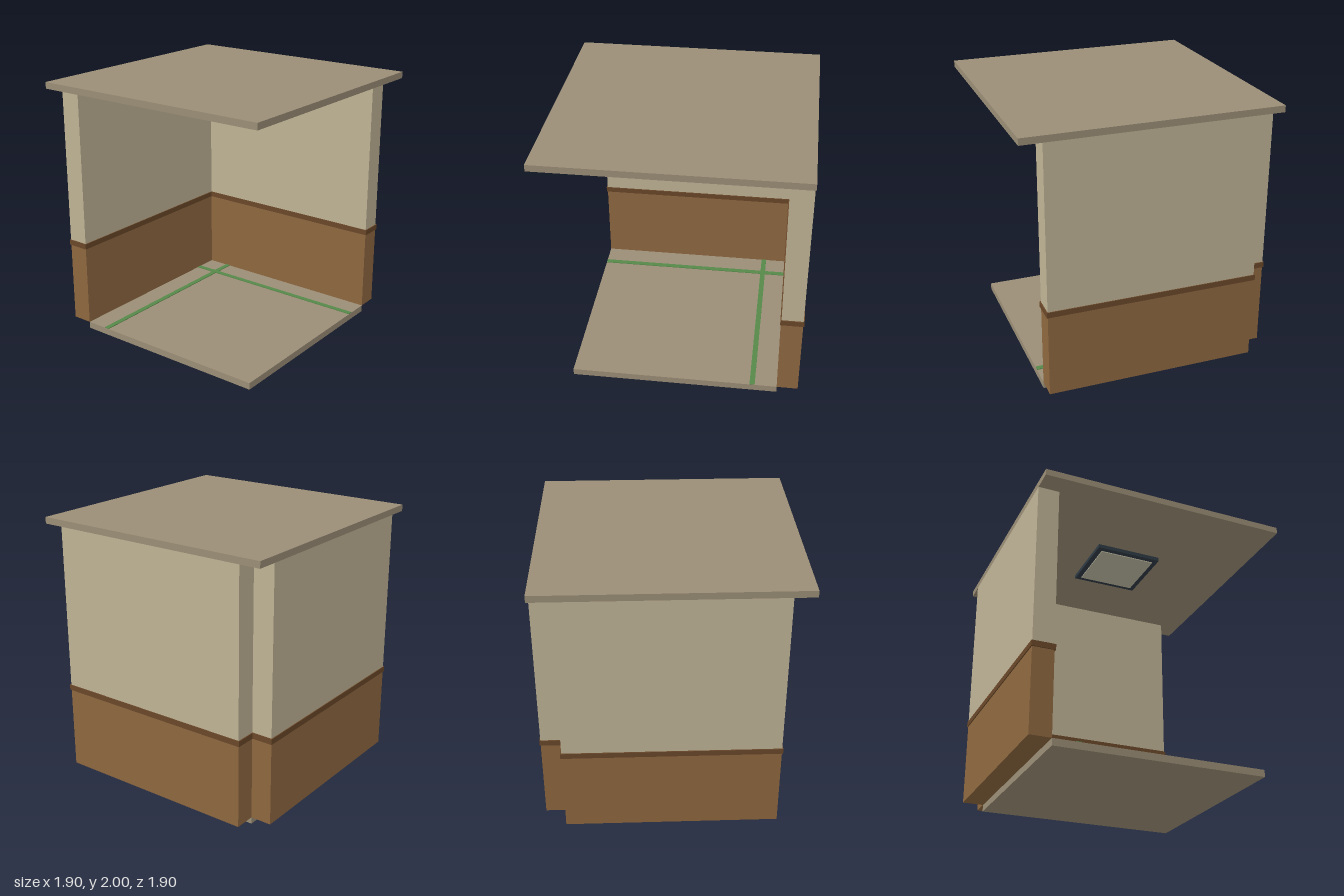
import * as THREE from 'three';

const mat = (name, color) => {
  const m = new THREE.MeshStandardMaterial({ color });
  m.name = name;
  return m;
};

export function createModel() {
  const stone = mat('stone', 0x9b8e76);
  const plaster = mat('plaster', 0xc0b496);
  const wood = mat('wood panel', 0x8f6840);
  const darkWood = mat('dark wood', 0x6a4829);
  const green = mat('green inlay', 0x56884a);
  const metal = mat('dark metal', 0x2f3b44);
  const pale = mat('lamp panel', 0xc2bda6);

  const room = new THREE.Group();
  room.name = 'room';

  // Box given by its min and max on each axis
  const box = (parent, name, material, [x0, x1], [y0, y1], [z0, z1]) => {
    const mesh = new THREE.Mesh(new THREE.BoxGeometry(x1 - x0, y1 - y0, z1 - z0), material);
    mesh.position.set((x0 + x1) / 2, (y0 + y1) / 2, (z0 + z1) / 2);
    mesh.name = name;
    parent.add(mesh);
  };

  const IN = 0.787, OUT = 0.946, FLOOR = 0.052, CEIL = 1.951;

  // Floor and overhanging ceiling slabs
  box(room, 'floor', stone, [-IN, IN], [0, FLOOR], [-IN, IN]);
  box(room, 'ceiling', stone, [-OUT, OUT], [CEIL, 2], [-OUT, OUT]);

  // Two walls, each with wainscot, rail and plaster; the outer corner stays open
  const wall = (name, turn) => {
    const g = new THREE.Group();
    g.name = name;
    const span = [-IN, IN], depth = [-OUT, -IN];
    box(g, 'wainscot', wood, span, [FLOOR, 0.69], depth);
    box(g, 'plasterWall', plaster, span, [0.69, CEIL], depth);
    box(g, 'chairRail', darkWood, [-IN - 0.008, IN + 0.008], [0.678, 0.72], [-OUT - 0.007, -IN + 0.008]);
    g.rotation.y = turn;
    room.add(g);
  };
  wall('backWall', 0);
  wall('rightWall', Math.PI / 2);

  // Crossing green inlays on the floor
  const strip = [-0.62, -0.58], top = [FLOOR - 0.002, FLOOR + 0.005];
  box(room, 'inlayAlongDepth', green, strip, top, [-0.58, IN - 0.002]);
  box(room, 'inlayAlongDepthRear', green, strip, top, [-IN + 0.002, -0.62]);
  box(room, 'inlayAlongWidth', green, [-IN + 0.002, IN - 0.002], top, strip);

  // Ceiling lamp: square frame around a pale panel
  const lamp = new THREE.Group();
  lamp.name = 'ceilingLamp';
  box(lamp, 'lampHousing', metal, [-0.26, 0.26], [1.921, CEIL], [-0.26, 0.26]);
  box(lamp, 'lampPanel', pale, [-0.22, 0.22], [1.914, 1.921], [-0.22, 0.22]);
  room.add(lamp);

  return room;
}
